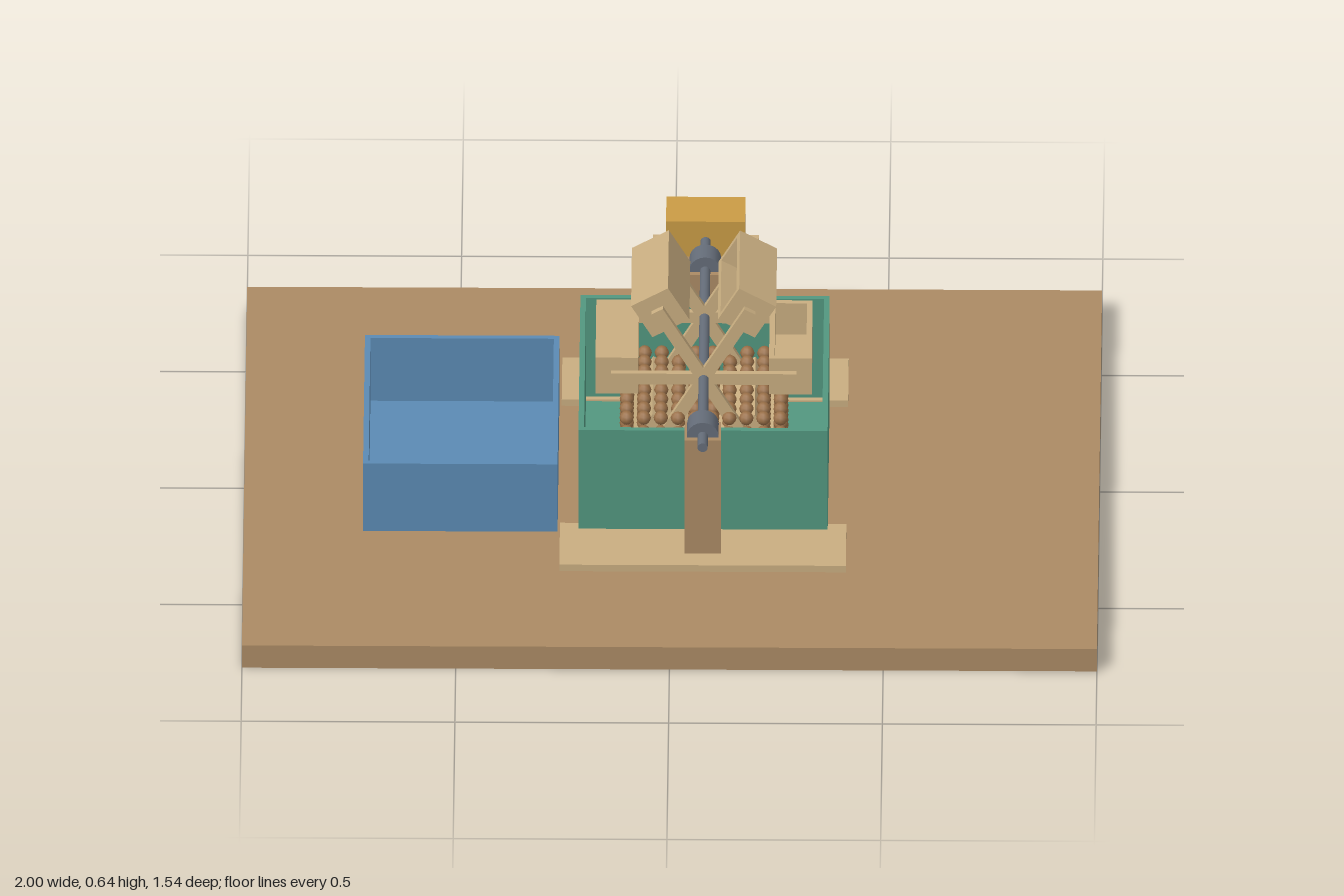
import * as THREE from 'three';
import { mergeGeometries } from 'three/addons/utils/BufferGeometryUtils.js';

const material = (name, color) => {
  const m = new THREE.MeshStandardMaterial({ color });
  m.name = name;
  return m;
};

export function createModel() {
  const model = new THREE.Group();
  model.name = 'bucketWheelStation';

  const wood = material('brown wood', 0xab8a64);
  const paleWood = material('pale wood', 0xc8ad80);
  const green = material('green', 0x52967f);
  const blue = material('blue', 0x5b8ab3);
  const steel = material('steel grey', 0x646c78);
  const orange = material('orange', 0xc99b45);
  const pebble = material('pebble brown', 0x9a7048);

  const AXLE_X = 0.075, AXLE_Y = 0.4, BASE_TOP = 0.062;

  const add = (parent, name, geometry, mat, x = 0, y = 0, z = 0) => {
    const mesh = new THREE.Mesh(geometry, mat);
    mesh.name = name;
    mesh.position.set(x, y, z);
    parent.add(mesh);
    return mesh;
  };
  const box = (w, h, d) => new THREE.BoxGeometry(w, h, d);

  // Open-topped box standing on y = 0, walls of thickness t
  const openBox = (w, h, d, t) => {
    const parts = [box(w, t, d).translate(0, t / 2, 0)];
    for (const s of [-1, 1]) {
      parts.push(box(t, h - t, d).translate(s * (w - t) / 2, (h + t) / 2, 0));
      parts.push(box(w - 2 * t, h - t, t).translate(0, (h + t) / 2, s * (d - t) / 2));
    }
    return mergeGeometries(parts);
  };

  // Base board and the two bins
  add(model, 'baseBoard', box(2, BASE_TOP, 1.54), wood, 0, BASE_TOP / 2, 0);
  add(model, 'greenBin', openBox(0.583, 0.293, 0.58, 0.013), green, AXLE_X, BASE_TOP, 0);
  add(model, 'blueBin', openBox(0.455, 0.188, 0.552, 0.013), blue, -0.493, BASE_TOP, 0);

  // Pebbles stacked in even layers in the green bin
  const pebbles = [];
  for (let layer = 0; layer < 6; layer++)
    for (let i = 0; i < 10; i++)
      for (let k = 0; k < 8; k++)
        pebbles.push(new THREE.SphereGeometry(0.017, 8, 6)
          .translate((i - 4.5) * 0.04, layer * 0.04, (k - 3.5) * 0.04));
  add(model, 'pebbles', mergeGeometries(pebbles), pebble, AXLE_X, 0.093, 0);

  // Bearing stands, mirrored front and back
  for (const s of [-1, 1]) {
    const stand = new THREE.Group();
    stand.name = s > 0 ? 'frontStand' : 'backStand';
    stand.position.set(AXLE_X, 0, s * 0.355);
    add(stand, 'footPlate', box(0.67, 0.018, 0.18), paleWood, 0, BASE_TOP + 0.009, 0);
    add(stand, 'post', box(0.085, 0.334, 0.08), wood, 0, BASE_TOP + 0.167, 0);
    const bearing = new THREE.CylinderGeometry(0.037, 0.037, 0.056, 20).rotateX(Math.PI / 2);
    add(stand, 'bearing', bearing, steel, 0, AXLE_Y, 0);
    model.add(stand);
  }

  // Axle
  const axle = new THREE.CylinderGeometry(0.012, 0.012, 0.89, 16).rotateX(Math.PI / 2);
  add(model, 'axle', axle, steel, AXLE_X, AXLE_Y, -0.012);

  // Wheel: six buckets opening along the turning direction, carried by crossed arms
  const wheel = new THREE.Group();
  wheel.name = 'bucketWheel';
  wheel.position.set(AXLE_X, AXLE_Y, 0);
  for (let i = 0; i < 6; i++) {
    const sector = new THREE.Group();
    sector.name = 'wheelSector';
    sector.rotation.z = i * Math.PI / 3;
    add(sector, 'bucket', openBox(0.1, 0.1, 0.25, 0.013), paleWood, 0.203, -0.05, 0);
    for (const s of [-1, 1])
      add(sector, 'arm', box(0.217, 0.03, 0.014), paleWood, 0.1085, 0, s * 0.132);
    wheel.add(sector);
  }
  model.add(wheel);

  // Drive unit on its shelf at the back end of the axle
  add(model, 'driveBox', box(0.185, 0.105, 0.107), orange, AXLE_X, 0.402, -0.507);
  add(model, 'driveShelf', box(0.247, 0.029, 0.138), paleWood, AXLE_X, 0.324, -0.507);

  return model;
}
